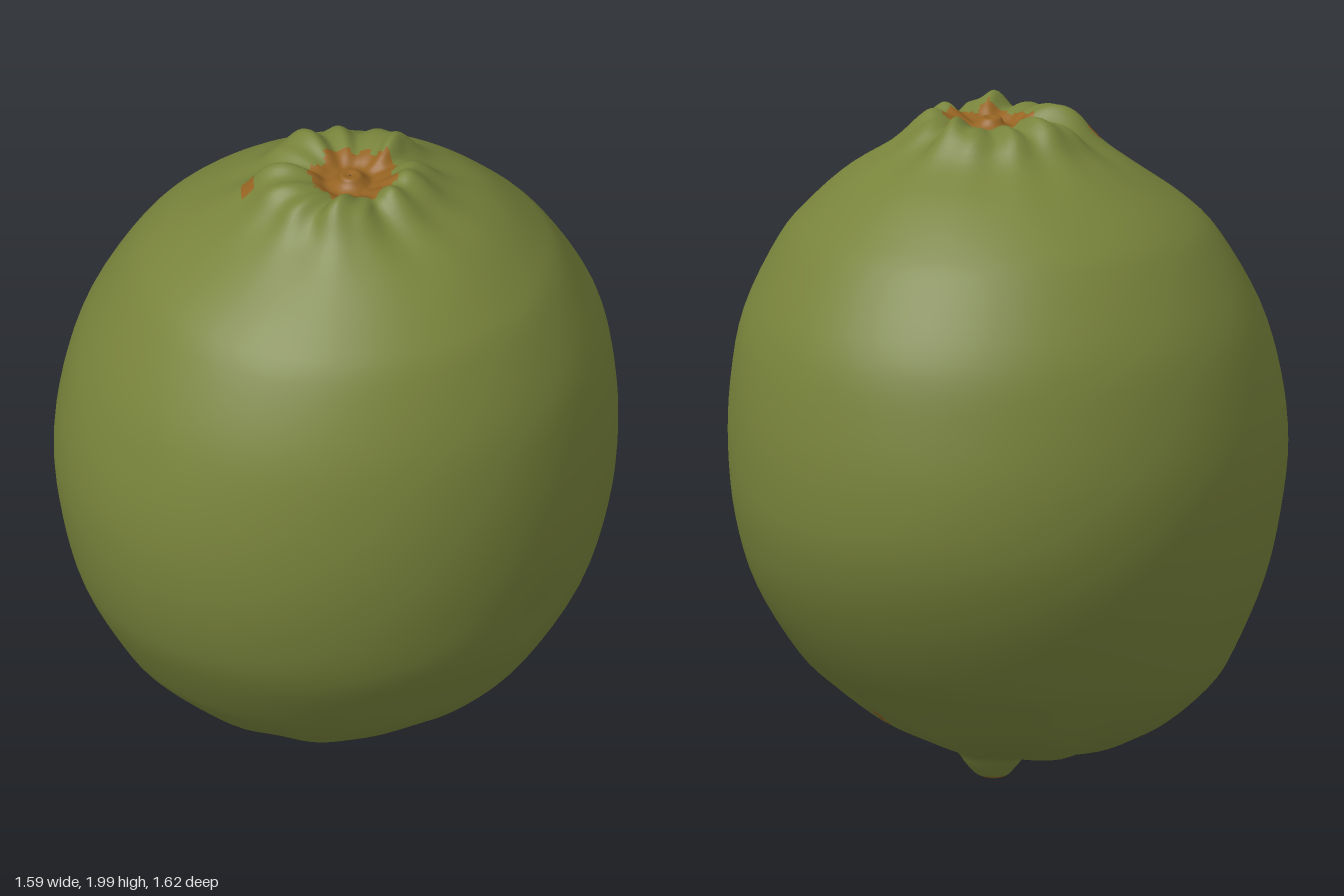
import * as THREE from 'three';

// Cross-sections from the bottom tip to the stem dimple: y, -x, +x, -z, +z extents
const SECTIONS = [
  [0.0, 0.035, 0.045, -0.005, 0.005], [0.012, 0.0, 0.09, -0.04, 0.04],
  [0.045, -0.03, 0.125, -0.07, 0.08], [0.08, -0.07, 0.15, -0.1, 0.11],
  [0.1, -0.22, 0.19, -0.16, 0.19], [0.135, -0.36, 0.26, -0.25, 0.3],
  [0.2, -0.48, 0.39, -0.37, 0.42], [0.3, -0.59, 0.52, -0.48, 0.53],
  [0.4, -0.65, 0.61, -0.58, 0.61], [0.6, -0.73, 0.72, -0.71, 0.73],
  [0.8, -0.775, 0.77, -0.79, 0.79], [1.0, -0.795, 0.79, -0.81, 0.81],
  [1.2, -0.775, 0.785, -0.79, 0.79], [1.4, -0.72, 0.75, -0.74, 0.735],
  [1.6, -0.61, 0.66, -0.62, 0.63], [1.7, -0.52, 0.58, -0.53, 0.54],
  [1.8, -0.38, 0.47, -0.41, 0.42], [1.88, -0.26, 0.34, -0.28, 0.32],
  [1.945, -0.19, 0.26, -0.21, 0.26], [1.965, -0.12, 0.22, -0.15, 0.21],
  [1.95, -0.05, 0.18, -0.08, 0.15], [1.925, -0.01, 0.13, -0.04, 0.11],
  [1.935, 0.02, 0.11, -0.01, 0.08], [1.955, 0.035, 0.09, 0.01, 0.065],
  [1.95, 0.06, 0.065, 0.035, 0.04],
];
const SEGMENTS = 120, STEPS = 4;

// Irregular wave around the fruit, roughly -1 to 1
const wave = (a, p) => 0.45 * Math.sin(5 * a + p) + 0.35 * Math.sin(8 * a + 2.1 * p + 1) + 0.3 * Math.sin(13 * a - p);
const bell = (v, centre, width) => Math.exp(-(((v - centre) / width) ** 2));

function createSkin(rind, scar) {
  const centres = new THREE.CatmullRomCurve3(SECTIONS.map(([y, l, r, b, f]) =>
    new THREE.Vector3((l + r) / 2, y, (b + f) / 2)), false, 'catmullrom', 0.5);
  const radii = new THREE.CatmullRomCurve3(SECTIONS.map(([, l, r, b, f]) =>
    new THREE.Vector3((r - l) / 2, 0, (f - b) / 2)), false, 'catmullrom', 0.5);
  const rows = (SECTIONS.length - 1) * STEPS;
  const points = [];

  for (let i = 0; i <= rows; i++) {
    const c = centres.getPoint(i / rows), r = radii.getPoint(i / rows);
    const section = i / STEPS;
    // Creases gather round the stem and, more faintly, the tip
    const stem = bell(section, 18.6, 1.5);
    const tip = bell(section, 5, 1.4);
    const body = bell(section, 11, 6);
    for (let j = 0; j < SEGMENTS; j++) {
      const a = (j / SEGMENTS) * Math.PI * 2;
      const swell = 1 - 0.03 * body * Math.sin(2 * a) + 0.07 * stem * wave(a, 0.6 + 0.12 * section) + 0.03 * tip * wave(a, 2.4);
      const p = new THREE.Vector3(
        c.x + Math.max(r.x, 0) * Math.cos(a) * swell,
        c.y + 0.03 * stem * wave(a, 2) + 0.012 * tip * wave(a, 4),
        c.z + Math.max(r.z, 0) * Math.sin(a) * swell);
      // Shallow dent low on the left side
      if (p.x > 0) p.x -= 0.02 * bell(p.y, 0.67, 0.09) * bell(p.z, 0.15, 0.08);
      p.y = THREE.MathUtils.clamp(p.y, 0, 2);
      points.push(p);
    }
  }

  // Brown scars: stem patch, tip and two small blemishes
  const blemishes = [[-0.19, 1.88, 0.15, 0.045], [0.3, 0.22, -0.3, 0.03]]
    .map(([x, y, z, size]) => {
      const spot = new THREE.Vector3(x, y, z);
      // Settle the blemish on the nearest skin point
      const near = points.reduce((m, p) => (p.distanceToSquared(spot) < m.distanceToSquared(spot) ? p : m));
      return { near, size };
    });
  const isScar = (p) => {
    if (p.y < 0.015) return true;
    const dx = p.x - 0.07, dz = p.z - 0.03;
    const edge = 0.125 + 0.018 * wave(Math.atan2(dz, dx), 1);
    if (p.y > 1.85 && Math.hypot(dx, dz) < edge) return true;
    return blemishes.some(({ near, size }) => p.distanceTo(near) < size * 0.8);
  };

  const green = [], brown = [];
  for (let i = 0; i < rows; i++) {
    for (let j = 0; j < SEGMENTS; j++) {
      const k = (j + 1) % SEGMENTS;
      const a = i * SEGMENTS + j, b = i * SEGMENTS + k;
      const c = a + SEGMENTS, d = b + SEGMENTS;
      const middle = points[a].clone().add(points[d]).multiplyScalar(0.5);
      (isScar(middle) ? brown : green).push(a, c, b, b, c, d);
    }
  }
  const geometry = new THREE.BufferGeometry().setFromPoints(points);
  geometry.setIndex([...green, ...brown]);
  geometry.addGroup(0, green.length, 0);
  geometry.addGroup(green.length, brown.length, 1);
  geometry.computeVertexNormals();
  const mesh = new THREE.Mesh(geometry, [rind, scar]);
  mesh.name = 'fruitSkin';
  return mesh;
}

export function createModel() {
  const rind = new THREE.MeshStandardMaterial({ color: 0x78833b });
  rind.name = 'green rind';
  const scar = new THREE.MeshStandardMaterial({ color: 0x956322 });
  scar.name = 'brown stem scar';

  const fruit = new THREE.Group();
  fruit.name = 'citrusFruit';
  fruit.add(createSkin(rind, scar));
  return fruit;
}
